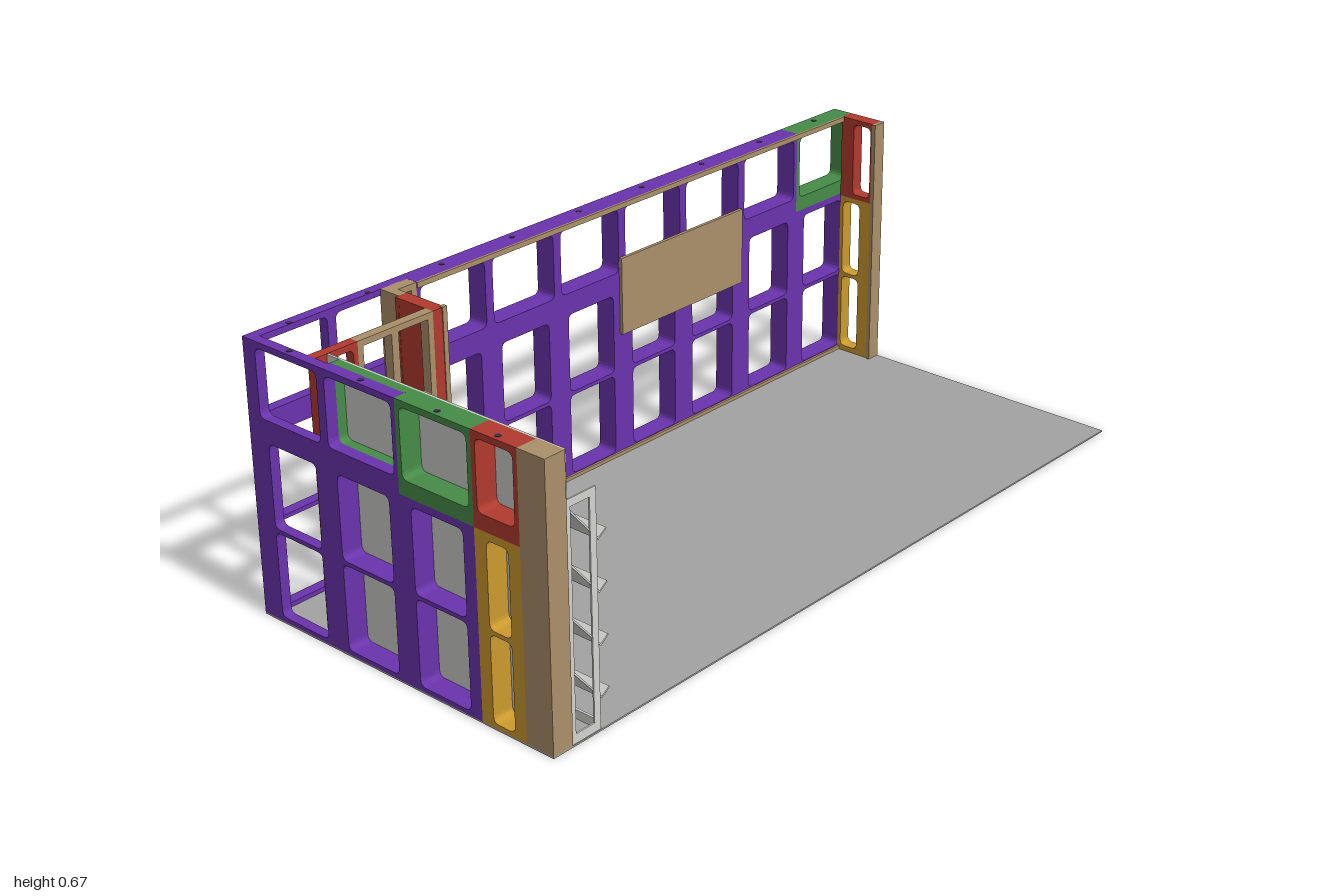
import * as THREE from 'three';

const mat = (name, color) => {
  const m = new THREE.MeshStandardMaterial({ color });
  m.name = name;
  return m;
};

export function createModel() {
  const root = new THREE.Group();
  root.name = 'exhibitionStand';
  const purple = mat('purple', 0x6a34ad), green = mat('green', 0x468c48), red = mat('red', 0xb03a2e),
    yellow = mat('yellow', 0xcc9a2e), tan = mat('tan', 0xab906a), floorGrey = mat('floorGrey', 0xa2a2a2),
    panelGrey = mat('panelGrey', 0xcbcbc9), rackGrey = mat('rackGrey', 0xd3d3d1), dark = mat('holeGrey', 0x3c3048);
  rackGrey.side = THREE.DoubleSide;
  const H = 0.67, MID = 0.455, P = 2 / 9;

  const add = (name, geo, m, parent = root) => {
    const mesh = new THREE.Mesh(geo, m);
    mesh.name = name;
    parent.add(mesh);
    return mesh;
  };
  // Box given by its limits on each axis
  const box = (name, m, x0, x1, y0, y1, z0, z1, parent = root) => {
    const b = add(name, new THREE.BoxGeometry(x1 - x0, y1 - y0, z1 - z0), m, parent);
    b.position.set((x0 + x1) / 2, (y0 + y1) / 2, (z0 + z1) / 2);
    return b;
  };
  const roundedHole = (a, b, c, d, r) => {
    const p = new THREE.Path();
    p.moveTo(a + r, c);
    p.lineTo(b - r, c); p.quadraticCurveTo(b, c, b, c + r);
    p.lineTo(b, d - r); p.quadraticCurveTo(b, d, b - r, d);
    p.lineTo(a + r, d); p.quadraticCurveTo(a, d, a, d - r);
    p.lineTo(a, c + r); p.quadraticCurveTo(a, c, a + r, c);
    return p;
  };
  // Frame panel with rounded openings; axis is the direction it runs in,
  // from..to its limits across the thickness
  const frame = (name, m, axis, u0, u1, y0, y1, from, to, holes) => {
    const s = new THREE.Shape();
    s.moveTo(u0, y0); s.lineTo(u1, y0); s.lineTo(u1, y1); s.lineTo(u0, y1); s.closePath();
    for (const [a, b, c, d, r = 0.016] of holes) s.holes.push(roundedHole(a, b, c, d, r));
    const g = new THREE.ExtrudeGeometry(s, { depth: to - from, bevelEnabled: false, curveSegments: 4 });
    const mesh = add(name, g, m);
    if (axis === 'x') mesh.position.z = from;
    else { mesh.rotation.y = -Math.PI / 2; mesh.position.x = to; }
    return mesh;
  };
  // One wall module: tall lower frame with a crossbar and an upper window frame
  const wallModule = (axis, u0, u1, from, to, upper = purple, lower = purple, side = 0.033) => {
    frame('lowerFrame', lower, axis, u0, u1, 0.004, MID, from, to,
      [[u0 + side, u1 - side, 0.015, 0.224], [u0 + side, u1 - side, 0.234, 0.437]]);
    frame('upperFrame', upper, axis, u0, u1, MID, H, from, to, [[u0 + 0.012, u1 - 0.012, 0.492, 0.655]]);
  };

  box('floor', floorGrey, -1, 1, 0, 0.004, -0.445, 0.445);

  // Back wall: nine modules, thinner behind the cabin, green window at the far end
  for (let i = 0; i < 9; i++) {
    const u = -1 + i * P;
    wallModule('x', u, u + P, -0.445, i < 2 ? -0.418 : -0.39, i === 8 ? green : purple);
    const hole = add('topHole', new THREE.CylinderGeometry(0.007, 0.007, 0.002, 12), dark);
    hole.position.set(u + P / 2, H, -0.425);
  }
  box('topTrim', tan, -0.556, 0.965, 0.657, H, -0.39, -0.384);
  box('bottomTrim', tan, -0.556, 0.965, 0.004, 0.013, -0.39, -0.384);
  box('board', tan, 0.1, 0.55, 0.33, 0.53, -0.39, -0.381);

  // End trim and bolt holes on the back wall's end face
  box('endTrimTop', tan, 0.999, 1.002, 0.66, H, -0.445, -0.28);
  box('endTrimBottom', tan, 0.999, 1.002, 0.004, 0.015, -0.445, -0.28);
  box('endTrimBack', tan, 0.999, 1.002, 0.015, 0.66, -0.445, -0.436);
  for (const y of [0.115, 0.338, 0.56]) for (const z of [-0.405, -0.43]) {
    const hole = add('endHole', new THREE.CylinderGeometry(0.005, 0.005, 0.002, 12), dark);
    hole.rotation.z = Math.PI / 2;
    hole.position.set(1, y, z);
  }

  // Short return wall
  frame('returnLower', yellow, 'z', -0.39, -0.288, 0.004, 0.45, 0.965, 1,
    [[-0.38, -0.325, 0.018, 0.222], [-0.38, -0.325, 0.232, 0.437]]);
  frame('returnUpper', red, 'z', -0.39, -0.288, 0.45, H, 0.965, 1, [[-0.35, -0.295, 0.462, 0.657]]);
  box('returnPost', tan, 0.962, 1, 0.004, H, -0.288, -0.278);

  // Left wall
  wallModule('z', -0.418, -0.2, -1, -0.975);
  wallModule('z', -0.2, 0.025, -1, -0.97);
  wallModule('z', -0.2, 0.025, -0.97, -0.946, green);
  wallModule('z', 0.025, 0.242, -1, -0.946, green);
  wallModule('z', 0.242, 0.37, -1, -0.946, red, yellow);
  box('cornerPost', tan, -1, -0.944, 0.004, H, 0.37, 0.445);
  box('liningPanel', panelGrey, -0.946, -0.94, 0.004, H, -0.238, 0.443);
  for (const z of [-0.31, -0.09, 0.135, 0.305]) {
    const hole = add('topHole', new THREE.CylinderGeometry(0.007, 0.007, 0.002, 12), dark);
    hole.position.set(-0.985, H, z);
  }

  // Cabin front: side frame, doorway and divided window above it
  frame('cabinFrontLower', yellow, 'x', -0.975, -0.86, 0.004, 0.45, -0.265, -0.24,
    [[-0.935, -0.872, 0.018, 0.222], [-0.935, -0.872, 0.232, 0.437]]);
  frame('cabinFrontUpper', red, 'x', -0.975, -0.86, 0.45, H, -0.265, -0.24, [[-0.935, -0.872, 0.475, 0.655]]);
  frame('cabinWindow', tan, 'x', -0.86, -0.645, 0.455, H, -0.265, -0.24,
    [[-0.845, -0.765, 0.48, 0.655, 0.002], [-0.745, -0.66, 0.48, 0.655, 0.002]]);
  box('doorPost', tan, -0.68, -0.645, 0.004, 0.455, -0.265, -0.24);

  // Cabin side
  frame('cabinSideLower', yellow, 'z', -0.36, -0.24, 0.004, 0.45, -0.645, -0.61,
    [[-0.35, -0.255, 0.018, 0.222], [-0.35, -0.255, 0.232, 0.437]]);
  frame('cabinSideUpper', red, 'z', -0.36, -0.24, 0.45, H, -0.645, -0.61, [[-0.35, -0.252, 0.462, 0.657]]);
  box('cabinSideLowerSheet', yellow, -0.644, -0.638, 0.01, 0.448, -0.358, -0.242);
  box('cabinSideUpperSheet', red, -0.644, -0.638, 0.452, 0.668, -0.358, -0.242);
  box('cabinCornerTrim', tan, -0.618, -0.605, 0.004, H + 0.001, -0.25, -0.238);
  box('cabinBackPost', tan, -0.635, -0.61, 0.004, H, -0.42, -0.36);
  box('cabinJoinPost', tan, -0.61, -0.598, 0.004, H, -0.42, -0.388);
  box('cabinJoinPost', tan, -0.572, -0.556, 0.004, H, -0.42, -0.388);
  box('cabinJoinTop', tan, -0.598, -0.572, 0.655, H, -0.42, -0.388);

  // Display racks with four tilted trays each
  for (const [z0, z1] of [[-0.056, 0.095], [0.116, 0.269], [0.29, 0.443]]) {
    const rack = new THREE.Group();
    rack.name = 'displayRack';
    root.add(rack);
    for (const z of [z0, z1 - 0.004]) {
      box('rackPost', rackGrey, -0.878, -0.86, 0.004, 0.56, z, z + 0.004, rack);
      box('rackRearPost', rackGrey, -0.94, -0.932, 0.004, 0.56, z, z + 0.004, rack);
      box('rackTopBar', rackGrey, -0.94, -0.86, 0.542, 0.56, z, z + 0.004, rack);
      box('rackFoot', rackGrey, -0.94, -0.86, 0.004, 0.026, z, z + 0.004, rack);
    }
    box('rackTopRail', rackGrey, -0.94, -0.934, 0.54, 0.56, z0, z1, rack);
    box('rackKickPanel', rackGrey, -0.866, -0.86, 0.004, 0.026, z0, z1, rack);
    for (const y of [0.072, 0.195, 0.317, 0.437]) {
      // Bent sheet: sloping back, then a lip turned outwards
      const s = new THREE.Shape();
      s.moveTo(-0.936, y + 0.103); s.lineTo(-0.939, y + 0.1); s.lineTo(-0.853, y);
      s.lineTo(-0.83, y + 0.017); s.lineTo(-0.832, y + 0.02); s.lineTo(-0.853, y + 0.005);
      s.closePath();
      const tray = add('tray', new THREE.ExtrudeGeometry(s, { depth: z1 - z0 - 0.004, bevelEnabled: false }), rackGrey, rack);
      tray.position.z = z0 + 0.002;
    }
  }
  return root;
}
